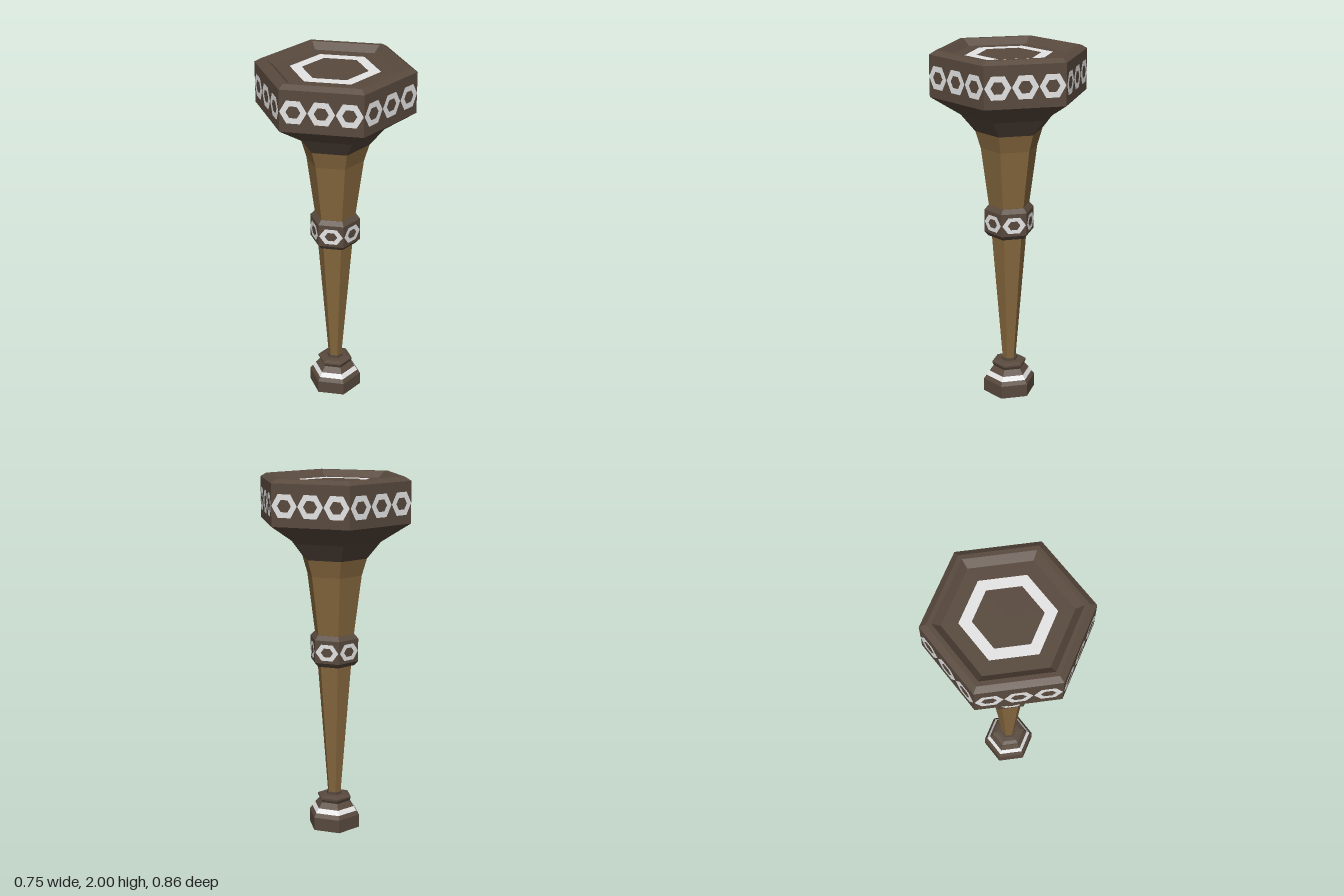
import * as THREE from 'three';

const mat = (name, color) => Object.assign(new THREE.MeshStandardMaterial({ color }), { name });

export function createModel() {
  const group = new THREE.Group();
  const darkWood = mat('dark wood', 0x594a3e);
  const goldWood = mat('golden wood', 0x86683e);
  const inlayWhite = mat('white inlay', 0xe6e6e6);
  const APOTHEM = Math.cos(Math.PI / 6);

  const add = (name, geometry, material, parent = group) => {
    const mesh = new THREE.Mesh(geometry, material);
    mesh.name = name;
    parent.add(mesh);
    return mesh;
  };

  // Six-sided faceted solid from [radius, height] points, listed bottom to top
  const hexLathe = (name, profile, material) => {
    const points = profile.map(([r, y]) => new THREE.Vector2(r, y));
    const geometry = new THREE.LatheGeometry(points, 6).toNonIndexed();
    geometry.computeVertexNormals();
    return add(name, geometry, material);
  };

  // Flat hexagonal ring with its corners at left and right
  const hexLoop = (path, rx, ry) => {
    for (let i = 0; i < 6; i++) {
      const a = (i * Math.PI) / 3;
      const x = Math.cos(a) * rx, y = (Math.sin(a) / APOTHEM) * ry;
      if (i === 0) path.moveTo(x, y); else path.lineTo(x, y);
    }
    path.closePath();
    return path;
  };
  const hexRing = (rx, ry, innerRx, innerRy) => {
    const shape = hexLoop(new THREE.Shape(), rx, ry);
    shape.holes.push(hexLoop(new THREE.Path(), innerRx, innerRy));
    return new THREE.ShapeGeometry(shape);
  };

  // Foot with a white band round its slope
  hexLathe('foot', [[0, 0], [0.15, 0], [0.15, 0.075], [0.134, 0.097]], darkWood);
  hexLathe('footBand', [[0.134, 0.097], [0.116, 0.122]], inlayWhite);
  hexLathe('footNeck', [
    [0.116, 0.122], [0.09, 0.153], [0.099, 0.17], [0.099, 0.18],
    [0.075, 0.188], [0.046, 0.19], [0.046, 0.205], [0, 0.205],
  ], darkWood);

  // Tapered shaft, flaring towards the head
  hexLathe('lowerShaft', [[0.038, 0.2], [0.1, 0.97]], goldWood);
  hexLathe('upperShaft', [[0.113, 1.12], [0.158, 1.46], [0.187, 1.555]], goldWood);

  // Collar
  hexLathe('collar', [
    [0.095, 0.955], [0.118, 0.955], [0.14, 0.98], [0.14, 1.108], [0.118, 1.132], [0.1, 1.132],
  ], darkWood);

  // Head with a recessed top
  hexLathe('head', [
    [0.187, 1.555], [0.265, 1.65], [0.43, 1.755], [0.43, 1.98], [0.395, 2],
    [0.368, 2], [0.325, 1.965], [0, 1.965],
  ], darkWood);

  // Inlay on the recessed top
  const topInlay = add('topInlay', hexRing(0.241, 0.241 * APOTHEM, 0.176, 0.176 * APOTHEM), inlayWhite);
  topInlay.rotation.set(-Math.PI / 2, 0, Math.PI / 2);
  topInlay.position.y = 1.968;

  // Ring inlays: three on each head face, one on each collar face
  const headRing = hexRing(0.07, 0.061, 0.038, 0.031);
  const collarRing = hexRing(0.066, 0.045, 0.035, 0.024);
  for (let i = 0; i < 6; i++) {
    const side = new THREE.Group();
    side.name = 'sideInlays';
    side.rotation.y = Math.PI / 6 + (i * Math.PI) / 3;
    group.add(side);
    for (const x of [-0.143, 0, 0.143]) {
      add('headInlay', headRing, inlayWhite, side).position.set(x, 1.865, 0.43 * APOTHEM + 0.002);
    }
    add('collarInlay', collarRing, inlayWhite, side).position.set(0, 1.042, 0.14 * APOTHEM + 0.002);
  }

  return group;
}
